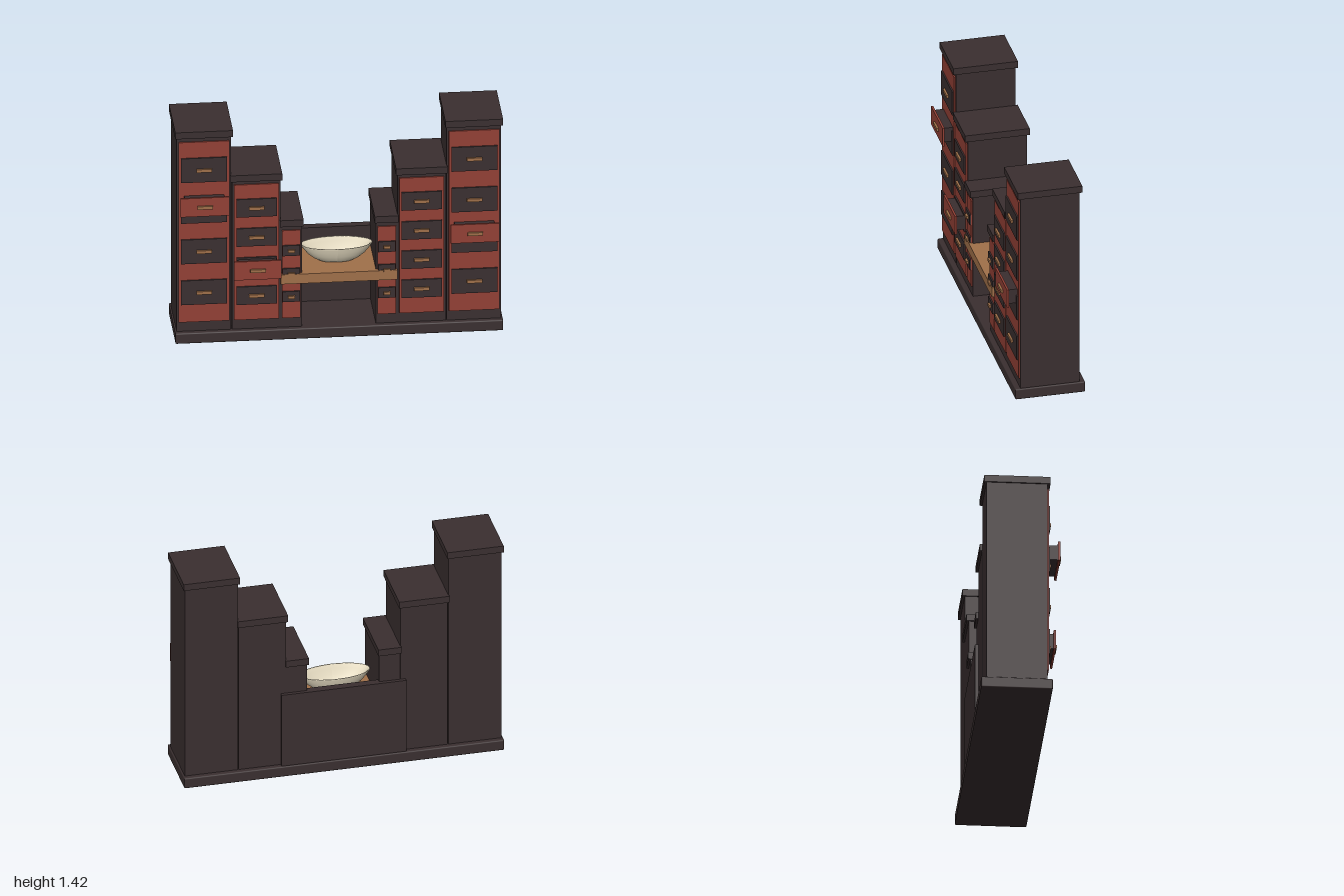
import * as THREE from 'three';
import { RoundedBoxGeometry } from 'three/addons/geometries/RoundedBoxGeometry.js';

function material(name, color, side = THREE.FrontSide) {
  const m = new THREE.MeshStandardMaterial({ color, side });
  m.name = name;
  return m;
}

export function createModel() {
  const root = new THREE.Group();
  root.name = 'steppedCabinet';
  const dark = material('darkWood', 0x3a2f30);
  const red = material('redLacquer', 0x934035);
  const wood = material('lightWood', 0xa0704a);
  const cream = material('creamCeramic', 0xe6dcc2, THREE.DoubleSide);

  // Box given by its limits on each axis
  function box(parent, name, mat, [x0, x1], [y0, y1], [z0, z1]) {
    const mesh = new THREE.Mesh(new THREE.BoxGeometry(x1 - x0, y1 - y0, z1 - z0), mat);
    mesh.position.set((x0 + x1) / 2, (y0 + y1) / 2, (z0 + z1) / 2);
    mesh.name = name;
    parent.add(mesh);
  }
  const span = (c, size) => [c - size / 2, c + size / 2];

  function handle(parent, x, y, z, w, h) {
    box(parent, 'handle', wood, span(x, w), span(y, h), [z, z + 0.013]);
  }

  // Base slab
  const base = new THREE.Mesh(new RoundedBoxGeometry(2, 0.07, 0.436, 2, 0.008), dark);
  base.name = 'base';
  base.position.set(0, 0.035, -0.03);
  root.add(base);

  // Cabinet columns, from the outside in: x limits are distances from the centre
  const columns = [
    { name: 'tall', body: [0.657, 0.99], cap: [0.648, 1], panel: [0.67, 0.98], top: 1.42, panelTop: 1.347,
      drawer: [0.28, 0.163], ys: [1.16, 0.885, 0.612, 0.336], grip: [0.094, 0.02] },
    { name: 'middle', body: [0.357, 0.653], cap: [0.347, 0.662], panel: [0.368, 0.64], top: 1.114, panelTop: 1.045,
      drawer: [0.246, 0.121], ys: [0.89, 0.693, 0.496, 0.3], grip: [0.094, 0.02] },
    { name: 'low', body: [0.225, 0.356], cap: [0.217, 0.361], panel: [0.235, 0.348], top: 0.797, panelTop: 0.724,
      drawer: [0.106, 0.07], ys: [0.591, 0.436, 0.281], grip: [0.042, 0.018] },
  ];
  for (const s of [-1, 1]) {
    const side = (a) => (s > 0 ? a : [-a[1], -a[0]]);
    for (const c of columns) {
      const g = new THREE.Group();
      g.name = c.name + (s > 0 ? 'CabinetLeft' : 'CabinetRight');
      root.add(g);
      box(g, 'body', dark, side(c.body), [0.068, c.top - 0.042], [-0.215, 0.155]);
      box(g, 'cap', dark, side(c.cap), [c.top - 0.044, c.top], [-0.23, 0.174]);
      box(g, 'frontPanel', red, side(c.panel), [0.134, c.panelTop], [0.15, 0.164]);
      const x = (s * (c.panel[0] + c.panel[1])) / 2;
      for (const y of c.ys) {
        box(g, 'drawerFront', dark, span(x, c.drawer[0]), span(y, c.drawer[1]), [0.15, 0.173]);
        handle(g, x, y, 0.173, ...c.grip);
      }
    }
  }

  // Pulled-out drawers
  for (const [x, y, w] of [[-0.824, 0.94, 0.298], [-0.502, 0.498, 0.29], [0.824, 0.686, 0.298]]) {
    const g = new THREE.Group();
    g.name = 'openDrawer';
    root.add(g);
    box(g, 'drawerBox', dark, span(x, w - 0.055), span(y, 0.095), [0.16, 0.224]);
    box(g, 'drawerFront', red, span(x, w), span(y, 0.124), [0.222, 0.235]);
    handle(g, x, y, 0.235, 0.094, 0.02);
  }

  // Back panel and counter joining the two halves
  box(root, 'backPanel', dark, [-0.39, 0.39], [0.068, 0.566], [-0.238, -0.187]);
  box(root, 'counter', wood, [-0.226, 0.226], [0.37, 0.434], [-0.19, 0.16]);
  box(root, 'counterFront', wood, [-0.357, 0.355], [0.37, 0.434], [0.155, 0.179]);

  // Oval basin: outer wall, rim, inner wall and floor
  const profile = [
    [0, 0.434], [0.08, 0.434], [0.105, 0.439], [0.14, 0.457], [0.175, 0.486], [0.2, 0.517], [0.214, 0.538],
    [0.219, 0.546], [0.216, 0.55], [0.208, 0.547], [0.19, 0.522], [0.16, 0.488], [0.13, 0.462], [0.11, 0.45], [0, 0.449],
  ].map(([x, y]) => new THREE.Vector2(x, y));
  const basinShape = new THREE.LatheGeometry(profile, 48);
  basinShape.scale(1, 1, 0.435);
  basinShape.computeVertexNormals();
  const basin = new THREE.Mesh(basinShape, cream);
  basin.name = 'basin';
  root.add(basin);

  return root;
}
